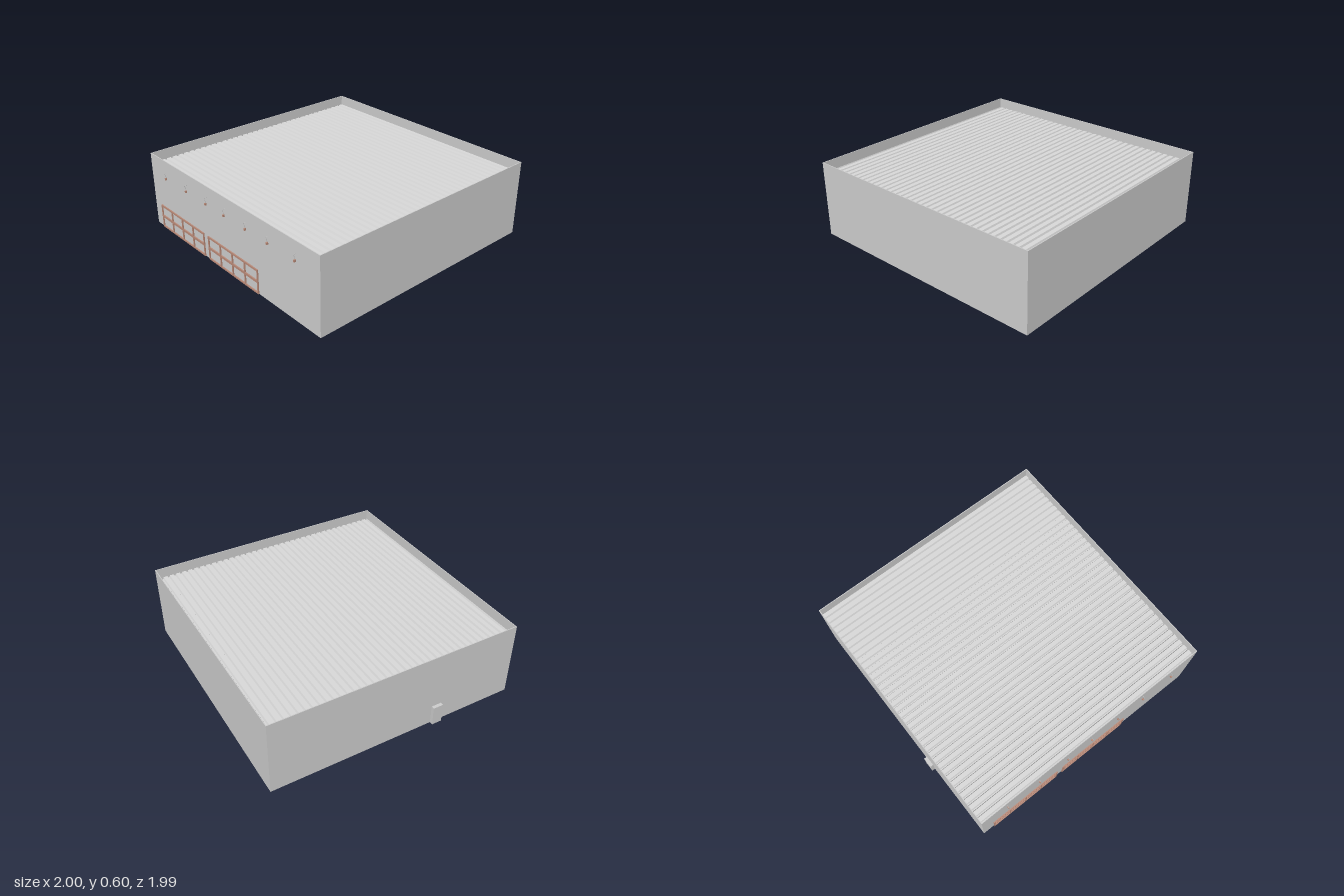
import * as THREE from 'three';

const wallGrey = new THREE.MeshStandardMaterial({ color: 0xcccccc });
const roofGrey = new THREE.MeshStandardMaterial({ color: 0xd8d8d8, side: THREE.DoubleSide });
const frameBrown = new THREE.MeshStandardMaterial({ color: 0xb98a78 });
wallGrey.name = 'wallGrey';
roofGrey.name = 'roofGrey';
frameBrown.name = 'frameBrown';

// Overall extents of the hall
const X0 = -0.975, X1 = 1, Z0 = -0.995, Z1 = 0.975, H = 0.6, T = 0.006;

// Box given by its lower and upper corners
function box(parent, name, material, [x0, y0, z0], [x1, y1, z1]) {
  const mesh = new THREE.Mesh(new THREE.BoxGeometry(x1 - x0, y1 - y0, z1 - z0), material);
  mesh.position.set((x0 + x1) / 2, (y0 + y1) / 2, (z0 + z1) / 2);
  mesh.name = name;
  parent.add(mesh);
  return mesh;
}

// Corrugated sheet: wide flats with narrow grooves, running along x
function corrugatedRoof() {
  const ribs = 38, top = 0.52, low = 0.505;
  const z0 = Z0 + T, z1 = Z1 - T, pitch = (z1 - z0) / ribs;
  const outline = [[z0, 0.495]];
  for (let i = 0; i < ribs; i++) {
    const z = z0 + i * pitch;
    outline.push([z, top], [z + pitch * 0.62, top], [z + pitch * 0.74, low], [z + pitch * 0.88, low]);
  }
  outline.push([z1, top], [z1, 0.495]);
  const shape = new THREE.Shape(outline.map(([z, y]) => new THREE.Vector2(-z, y)));
  const geometry = new THREE.ExtrudeGeometry(shape, { depth: X1 - X0 - 2 * T, bevelEnabled: false });
  geometry.rotateY(Math.PI / 2).translate(X0 + T, 0, 0);
  const roof = new THREE.Mesh(geometry, roofGrey);
  roof.name = 'corrugatedRoof';
  return roof;
}

// Window band: four columns by two rows of open frame bars
function windowBand(x0, x1) {
  const band = new THREE.Group();
  band.name = 'windowBand';
  const w = 0.01, zf = Z1 + 0.009, columns = 4;
  for (let i = 0; i <= columns; i++) {
    const x = x0 + (x1 - x0 - w) * i / columns;
    box(band, 'mullion', frameBrown, [x, 0.003, Z1], [x + w, 0.196, zf]);
  }
  for (const [y, h] of [[0.003, 0.012], [0.09, 0.018], [0.182, 0.014]]) {
    box(band, 'transom', frameBrown, [x0, y, Z1], [x1, y + h, zf]);
  }
  return band;
}

// Wall lamp: thin zigzag arm with a small head
function wallLamp(x) {
  const lamp = new THREE.Group();
  lamp.name = 'wallLamp';
  const points = [[0.51, Z1], [0.51, 0.994], [0.465, 0.98], [0.456, 0.99]];
  const path = new THREE.CurvePath();
  for (let i = 1; i < points.length; i++) {
    const [a, b] = [points[i - 1], points[i]].map(([y, z]) => new THREE.Vector3(x, y, z));
    path.add(new THREE.LineCurve3(a, b));
  }
  const arm = new THREE.Mesh(new THREE.TubeGeometry(path, 18, 0.0015, 5), wallGrey);
  arm.name = 'lampArm';
  lamp.add(arm);
  box(lamp, 'lampHead', frameBrown, [x - 0.005, 0.454, 0.979], [x + 0.005, 0.47, 0.993]);
  return lamp;
}

export function createModel() {
  const model = new THREE.Group();
  model.name = 'warehouse';

  // Floor and four thin walls rising past the roof as a parapet
  const base = 0.002;
  box(model, 'floor', wallGrey, [X0, base, Z0], [X1, base + T, Z1]);
  box(model, 'frontWall', wallGrey, [X0, base, Z1 - T], [X1, H, Z1]);
  box(model, 'backWall', wallGrey, [X0, base, Z0], [X1, H, Z0 + T]);
  box(model, 'rightWall', wallGrey, [X0, base, Z0 + T], [X0 + T, H, Z1 - T]);
  box(model, 'leftWall', wallGrey, [X1 - T, base, Z0 + T], [X1, H, Z1 - T]);
  model.add(corrugatedRoof());

  // Front details
  model.add(windowBand(-0.882, -0.285), windowBand(-0.23, 0.366));
  for (const x of [-0.755, -0.473, -0.216, 0.007, 0.255, 0.495, 0.772]) model.add(wallLamp(x));

  // Side entrance
  box(model, 'sideDoor', wallGrey, [-1, 0, 0.28], [X0, 0.155, 0.36]);

  // Small rails showing beneath the floor
  const rails = new THREE.Group();
  rails.name = 'floorRails';
  rails.position.set(0.61, 0, -0.7);
  rails.rotation.y = -0.47;
  for (const x of [-0.13, -0.03, 0.03, 0.13]) {
    box(rails, 'floorRail', wallGrey, [x - 0.003, 0, -0.075], [x + 0.003, 0.004, 0.075]);
  }
  model.add(rails);
  return model;
}
